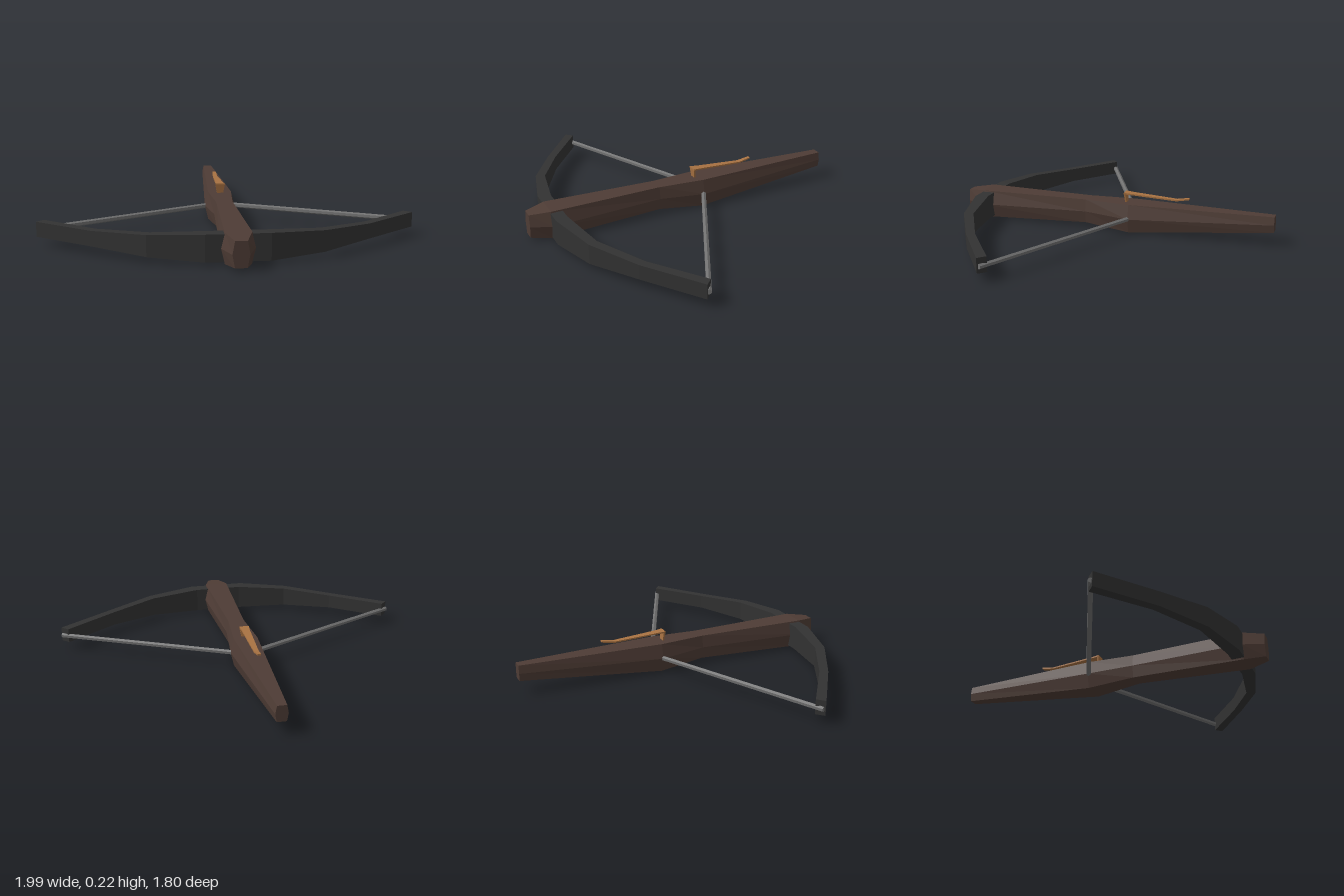
import * as THREE from 'three';

const mat = (name, color, flatShading = true) => {
  const m = new THREE.MeshStandardMaterial({ color, flatShading });
  m.name = name;
  return m;
};

// Closed, faceted loft: rings run counter-clockwise about the direction of travel
function loft(rings) {
  const out = [];
  const tri = (...pts) => pts.forEach((p) => out.push(...p));
  const n = rings[0].length;
  for (let r = 0; r < rings.length - 1; r++) {
    const a = rings[r], b = rings[r + 1];
    for (let i = 0; i < n; i++) {
      const j = (i + 1) % n;
      tri(a[i], a[j], b[j]);
      tri(a[i], b[j], b[i]);
    }
  }
  const first = rings[0], last = rings[rings.length - 1];
  for (let i = 1; i < n - 1; i++) {
    tri(first[0], first[i + 1], first[i]);
    tri(last[0], last[i], last[i + 1]);
  }
  const g = new THREE.BufferGeometry();
  g.setAttribute('position', new THREE.Float32BufferAttribute(out, 3));
  g.computeVertexNormals();
  return g;
}

export function createModel() {
  const group = new THREE.Group();
  const wood = mat('dark wood', 0x4e3c35);
  const iron = mat('blackened iron', 0x323232);
  const cord = mat('grey cord', 0x707070);
  const brass = mat('brass', 0xa87242);

  const add = (name, geometry, material) => {
    const mesh = new THREE.Mesh(geometry, material);
    mesh.name = name;
    group.add(mesh);
    return mesh;
  };

  // Stock: hexagonal sections [z, widest half width, flat half width, bottom, top]
  const stock = [
    [-0.9, 0.033, 0.025, 0.073, 0.16],
    [-0.1, 0.085, 0.066, 0, 0.16],
    [0.16, 0.056, 0.045, 0.025, 0.16],
    [0.79, 0.085, 0.066, 0.003, 0.16],
    [0.9, 0.042, 0.03, 0.015, 0.147],
  ].map(([z, w, t, lo, hi]) => {
    const mid = (lo + hi) / 2;
    return [[w, mid, z], [t, hi, z], [-t, hi, z], [-w, mid, z], [-t, lo, z], [t, lo, z]];
  });
  add('stock', loft(stock), wood);

  // Bow limbs: [inner x, inner z, outer x, outer z, bottom, top], mirrored across x
  const half = [
    [0.135, 0.725, 0.16, 0.793, 0.014, 0.152],
    [0.42, 0.67, 0.437, 0.72, 0.028, 0.138],
    [0.68, 0.523, 0.7, 0.565, 0.044, 0.124],
    [0.955, 0.316, 0.993, 0.352, 0.044, 0.124],
  ];
  const limbRing = (s) => ([xi, zi, xo, zo, lo, hi]) =>
    [[s * xi, lo, zi], [s * xi, hi, zi], [s * xo, hi, zo], [s * xo, lo, zo]];
  add('bow', loft([...[...half].reverse().map(limbRing(-1)), ...half.map(limbRing(1))]), iron);

  // Bowstring: one straight strand on each side, drawn back into the stock
  for (const s of [-1, 1]) {
    const from = new THREE.Vector3(s * 0.06, 0.08, -0.105);
    const to = new THREE.Vector3(s * 0.99, 0.08, 0.342);
    const dir = to.clone().sub(from);
    const strand = add(s > 0 ? 'leftString' : 'rightString',
      new THREE.CylinderGeometry(0.014, 0.014, dir.length(), 6), cord);
    strand.position.copy(from).add(to).multiplyScalar(0.5);
    strand.quaternion.setFromUnitVectors(new THREE.Vector3(0, 1, 0), dir.normalize());
  }

  // Release lever: tapered bent blade [z, half width, bottom, top]
  const blade = [
    [-0.43, 0.01, 0.204, 0.212],
    [-0.36, 0.013, 0.191, 0.199],
    [-0.1, 0.022, 0.204, 0.212],
    [-0.06, 0.027, 0.206, 0.215],
  ].map(([z, w, lo, hi]) => [[w, lo, z], [w, hi, z], [-w, hi, z], [-w, lo, z]]);
  add('lever', loft(blade), brass);

  // Lever post: [y, half width, back z, front z]
  const post = [
    [0.155, 0.017, -0.074, -0.066],
    [0.21, 0.027, -0.07, -0.06],
  ].map(([y, w, b, f]) => [[-w, y, b], [-w, y, f], [w, y, f], [w, y, b]]);
  add('leverPost', loft(post), brass);

  return group;
}
